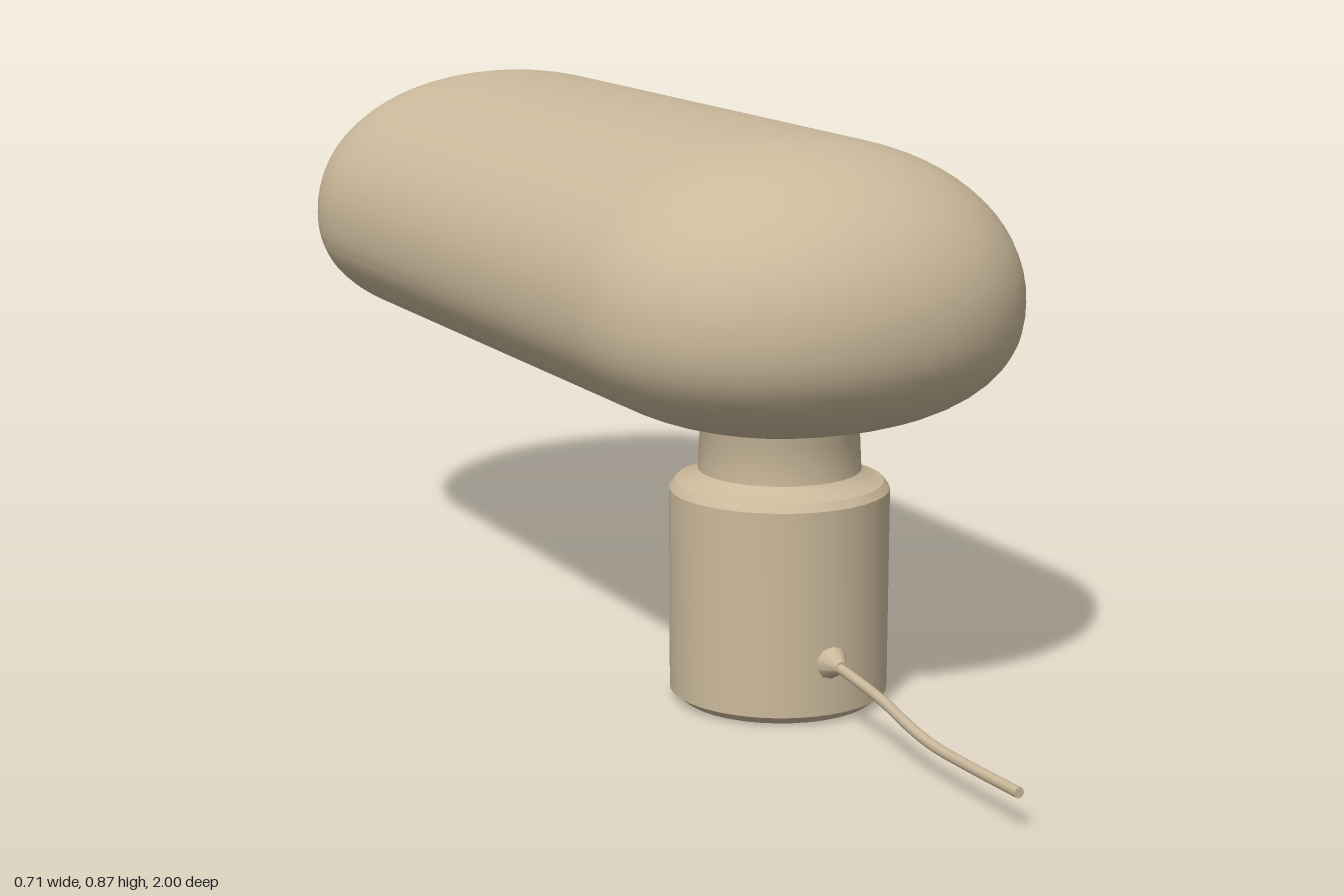
import * as THREE from 'three';
import { toCreasedNormals } from 'three/addons/utils/BufferGeometryUtils.js';

const material = new THREE.MeshStandardMaterial({ color: 0xcbb99b });
material.name = 'warm beige';

const PLAN = 2.12; // fullness of the rounded ends, 2 being an ellipse
const W = 0.354, FRONT = 0.35, BACK = -0.665, END = 0.335, MID = 0.625;

// Signed power, for superellipse coordinates
const power = (v, p) => Math.sign(v) * Math.abs(v) ** (2 / p);

// Capsule outline: half superellipses at both ends joined by straight sides
function capsule(halfWidth, frontZ, backZ, endDepth, scale = 1) {
  const points = [], arc = 28, side = 10;
  const x = halfWidth * scale, d = endDepth * scale;
  const end = (centreZ, start) => {
    for (let i = 0; i <= arc; i++) {
      const t = start + Math.PI * i / arc;
      points.push([x * power(Math.cos(t), PLAN), centreZ + d * power(Math.sin(t), PLAN)]);
    }
  };
  end(frontZ, 0);
  for (let i = 1; i < side; i++) points.push([-x, THREE.MathUtils.lerp(frontZ, backZ, i / side)]);
  end(backZ, Math.PI);
  for (let i = 1; i < side; i++) points.push([x, THREE.MathUtils.lerp(backZ, frontZ, i / side)]);
  return points;
}

// Skin closed rings of [x, y, z] points
function loft(rings, crease) {
  const n = rings[0].length, index = [];
  for (let i = 0; i < rings.length - 1; i++) {
    for (let j = 0; j < n; j++) {
      const k = (j + 1) % n;
      const a = i * n + j, b = i * n + k, c = a + n, d = b + n;
      index.push(a, b, c, b, d, c);
    }
  }
  const geometry = new THREE.BufferGeometry();
  geometry.setAttribute('position', new THREE.Float32BufferAttribute(rings.flat(2), 3));
  geometry.setIndex(index);
  return toCreasedNormals(geometry, crease);
}

// Height of the shade's underside at a point
function undersideY(x, z) {
  const dz = Math.max(z - FRONT, BACK - z, 0);
  const d = Math.min(1, (Math.abs(x / W) ** PLAN + (dz / END) ** PLAN) ** (1 / PLAN));
  return MID - 0.193 * (1 - d ** 2.35) ** (1 / 2.35);
}

export function createModel() {
  const group = new THREE.Group();
  const add = (name, geometry) => {
    const mesh = new THREE.Mesh(geometry, material);
    mesh.name = name;
    group.add(mesh);
    return mesh;
  };

  const outline = capsule(W, FRONT, BACK, END);
  const opening = capsule(0.252, -0.07, -0.66, 0.245);

  // Shade: domed top, then underside curving in to the opening's rim
  const shell = [];
  const steps = 18;
  for (let i = 0; i <= steps; i++) {
    const a = Math.PI / 2 * i / steps;
    const y = MID + 0.247 * power(Math.cos(a), 2.08);
    shell.push(capsule(W, FRONT, BACK, END, power(Math.sin(a), 2.08)).map(([x, z]) => [x, y, z]));
  }
  for (let i = 1; i <= steps; i++) {
    const f = (i / steps) ** 2;
    shell.push(outline.map(([x, z], j) => {
      const px = THREE.MathUtils.lerp(x, opening[j][0], f);
      const pz = THREE.MathUtils.lerp(z, opening[j][1], f);
      return [px, undersideY(px, pz), pz];
    }));
  }
  add('shade', loft(shell, 0.9));

  // Recess in the underside: upright wall and flat ceiling
  const ceiling = 0.55;
  add('shadeRecess', loft([
    shell[shell.length - 1],
    opening.map(([x, z]) => [x, ceiling, z]),
    capsule(0.252, -0.07, -0.66, 0.245, 0).map(([x, z]) => [x, ceiling, z]),
  ], 0.6));

  // Base with chamfered foot, shoulder and neck
  const profile = [
    [0, 0], [0.15, 0], [0.168, 0.014], [0.169, 0.33], [0.16, 0.342],
    [0.135, 0.35], [0.125, 0.36], [0.122, 0.42], [0.13, 0.44], [0.13, 0.46],
  ].map(([x, y]) => new THREE.Vector2(x, y));
  add('baseAndNeck', toCreasedNormals(new THREE.LatheGeometry(profile, 36), 0.5)).position.z = 0.325;

  // Cord and its grommet
  const path = new THREE.CatmullRomCurve3([
    [0, 0.095, 0.48], [0, 0.09, 0.55], [0.003, 0.078, 0.63], [0, 0.062, 0.72],
    [0, 0.054, 0.78], [0, 0.053, 0.88], [0, 0.055, 1],
  ].map((p) => new THREE.Vector3(...p)));
  add('cord', new THREE.TubeGeometry(path, 40, 0.008, 8));
  const cap = add('cordEnd', new THREE.CircleGeometry(0.008, 8));
  cap.position.set(0, 0.055, 1);
  const grommet = add('cordGrommet', new THREE.CylinderGeometry(0.009, 0.03, 0.035, 10));
  grommet.rotation.x = Math.PI / 2;
  grommet.position.set(0, 0.095, 0.502);

  return group;
}
